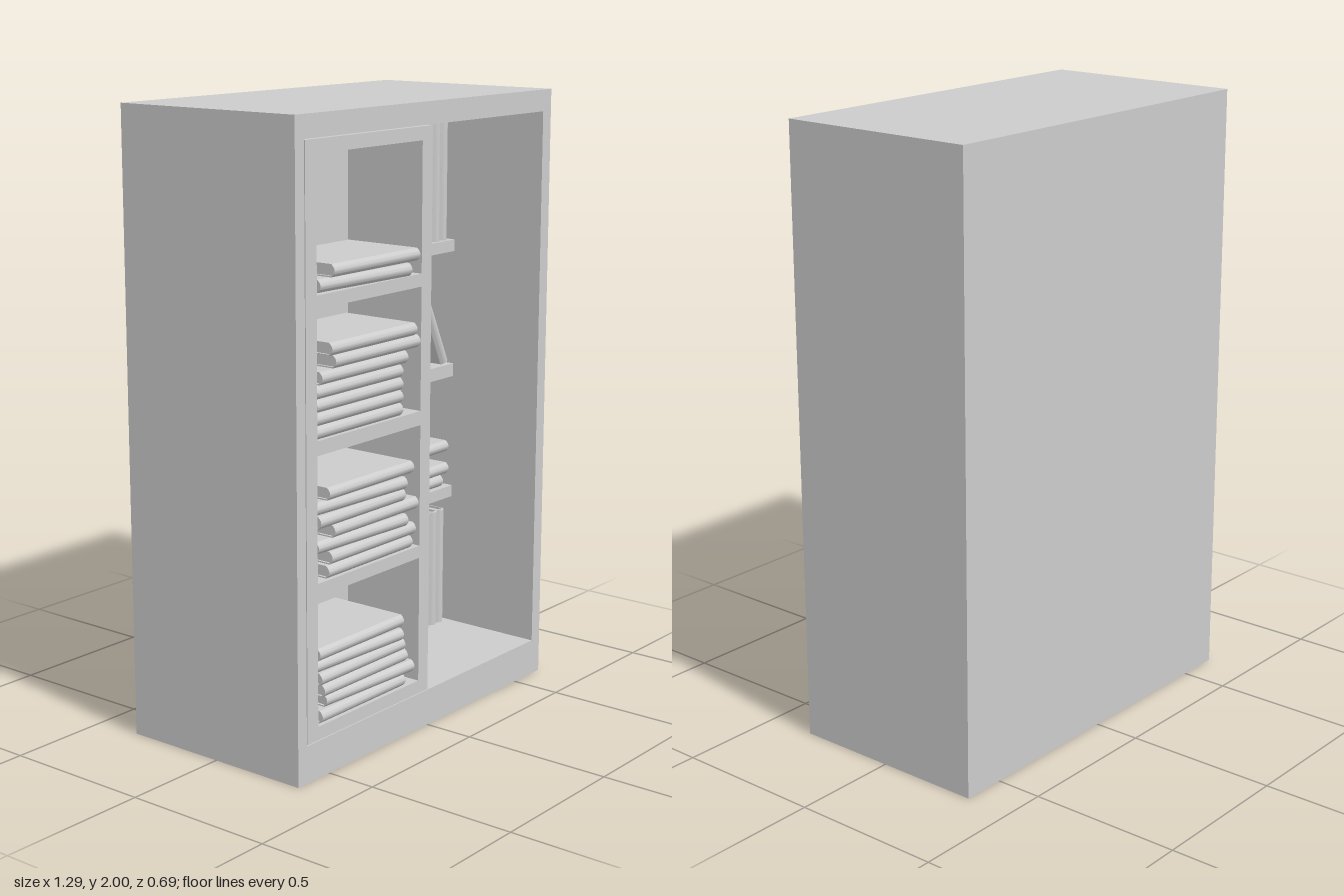
import * as THREE from 'three';
import { toCreasedNormals } from 'three/addons/utils/BufferGeometryUtils.js';

const LENGTH = 0.412, THICK = 0.04, DEPTH = 0.28;
const FRONT = 0.333, BACK = -0.345;
const SHELVES = [[0.575, 0.615], [1.005, 1.05], [1.44, 1.48]];

// Box given by its limits on each axis
function slab(parent, name, material, [x0, x1], [y0, y1], [z0, z1]) {
  const mesh = new THREE.Mesh(new THREE.BoxGeometry(x1 - x0, y1 - y0, z1 - z0), material);
  mesh.position.set((x0 + x1) / 2, (y0 + y1) / 2, (z0 + z1) / 2);
  mesh.name = name;
  parent.add(mesh);
}

// Folded cover with a rounded spine: length on x, thickness on y, spine at +z
function coverGeometry() {
  const t = THICK / 2 - 0.0003, c = 0.004, d = DEPTH / 2, s = 0.013;
  const shape = new THREE.Shape();
  shape.moveTo(-d, -t);
  shape.lineTo(d - s, -t);
  shape.quadraticCurveTo(d + s, 0, d - s, t);
  shape.lineTo(-d, t);
  shape.lineTo(-d, t - c);
  shape.lineTo(d - s, t - c);
  shape.lineTo(d - s, -t + c);
  shape.lineTo(-d, -t + c);
  shape.closePath();
  const geometry = new THREE.ExtrudeGeometry(shape, { depth: LENGTH, bevelEnabled: false, curveSegments: 10 });
  geometry.rotateY(-Math.PI / 2).translate(LENGTH / 2, 0, 0);
  return toCreasedNormals(geometry, 0.5);
}

export function createModel() {
  const grey = new THREE.MeshStandardMaterial({ color: 0xcccccc });
  grey.name = 'plain grey';
  const model = new THREE.Group();
  model.name = 'bookcase';

  const group = (name) => {
    const g = new THREE.Group();
    g.name = name;
    model.add(g);
    return g;
  };

  // Outer case, open at the front
  const shell = group('outerCase');
  slab(shell, 'base', grey, [-0.645, 0.645], [0, 0.12], [BACK, FRONT]);
  slab(shell, 'top', grey, [-0.645, 0.645], [1.93, 2], [BACK, FRONT]);
  slab(shell, 'rightWall', grey, [-0.645, -0.605], [0.12, 1.93], [BACK, FRONT]);
  slab(shell, 'leftWall', grey, [0.6, 0.645], [0.12, 1.93], [BACK, FRONT]);
  slab(shell, 'backPanel', grey, [-0.605, 0.6], [0.12, 1.93], [BACK, -0.315]);

  // Fixed shelves at the rear
  const rear = group('rearShelves');
  slab(rear, 'divider', grey, [-0.02, 0.02], [0.12, 1.93], [-0.315, -0.015]);
  for (const y of SHELVES) slab(rear, 'rearShelf', grey, [0.02, 0.6], y, [-0.315, -0.015]);

  // Sliding unit standing in front of the rear shelves
  const slider = group('slidingUnit');
  const unitZ = [-0.01, FRONT - 0.001];
  slab(slider, 'sliderSide', grey, [-0.6, -0.55], [0.122, 1.927], unitZ);
  slab(slider, 'sliderSide', grey, [-0.05, 0], [0.122, 1.927], unitZ);
  slab(slider, 'sliderBack', grey, [-0.55, -0.05], [0.122, 1.927], [-0.01, 0.043]);
  for (const y of [[0.122, 0.165], ...SHELVES, [1.885, 1.927]]) {
    slab(slider, 'sliderShelf', grey, [-0.55, -0.05], y, [0.043, unitZ[1]]);
  }

  // Books: a cover around an inset block of pages
  const cover = coverGeometry();
  const pages = new THREE.BoxGeometry(LENGTH - 0.014, THICK - 0.009, DEPTH - 0.02);
  const books = group('books');
  function addBook(x, y, z, turn = 0, roll = 0) {
    const book = new THREE.Group();
    book.name = 'book';
    const coverMesh = new THREE.Mesh(cover, grey);
    coverMesh.name = 'bookCover';
    const pageMesh = new THREE.Mesh(pages, grey);
    pageMesh.name = 'bookPages';
    pageMesh.position.z = -0.004;
    book.add(coverMesh, pageMesh);
    book.position.set(x, y, z);
    book.rotation.set(0, turn, roll);
    books.add(book);
  }

  // Lying stacks: floor height, centre x of each book from the bottom up, and which are turned
  const frontZ = 0.191, rearZ = -0.165;
  const stacks = [
    [0.165, frontZ, [-0.321, -0.281, -0.31, -0.323, -0.337, -0.331], [1, 4]],
    [0.615, frontZ, [-0.289, -0.273, -0.318, -0.26, -0.326, -0.323, -0.284], [2, 5]],
    [1.05, frontZ, [-0.342, -0.342, -0.342, -0.342, -0.318, -0.255, -0.273], []],
    [1.48, frontZ, [-0.307, -0.262], [0]],
    [0.615, rearZ, [0.358, 0.39, 0.232, 0.387], [2]],
    [1.05, rearZ, [0.239, 0.243, 0.239, 0.268, 0.257, 0.23], []],
  ];
  for (const [floor, z, centres, turned] of stacks) {
    centres.forEach((x, i) => addBook(x, floor + (i + 0.5) * THICK, z, turned.includes(i) ? -0.05 : 0));
  }

  // Upright rows
  for (const floor of [0.12, 1.48]) {
    for (let i = 0; i < 14; i++) {
      addBook(0.042 + i * THICK, floor + LENGTH / 2, rearZ, 0, Math.PI / 2);
    }
  }

  // One book leaning against its stack
  addBook(0.488, 1.244, rearZ, 0, THREE.MathUtils.degToRad(115.2));

  return model;
}
